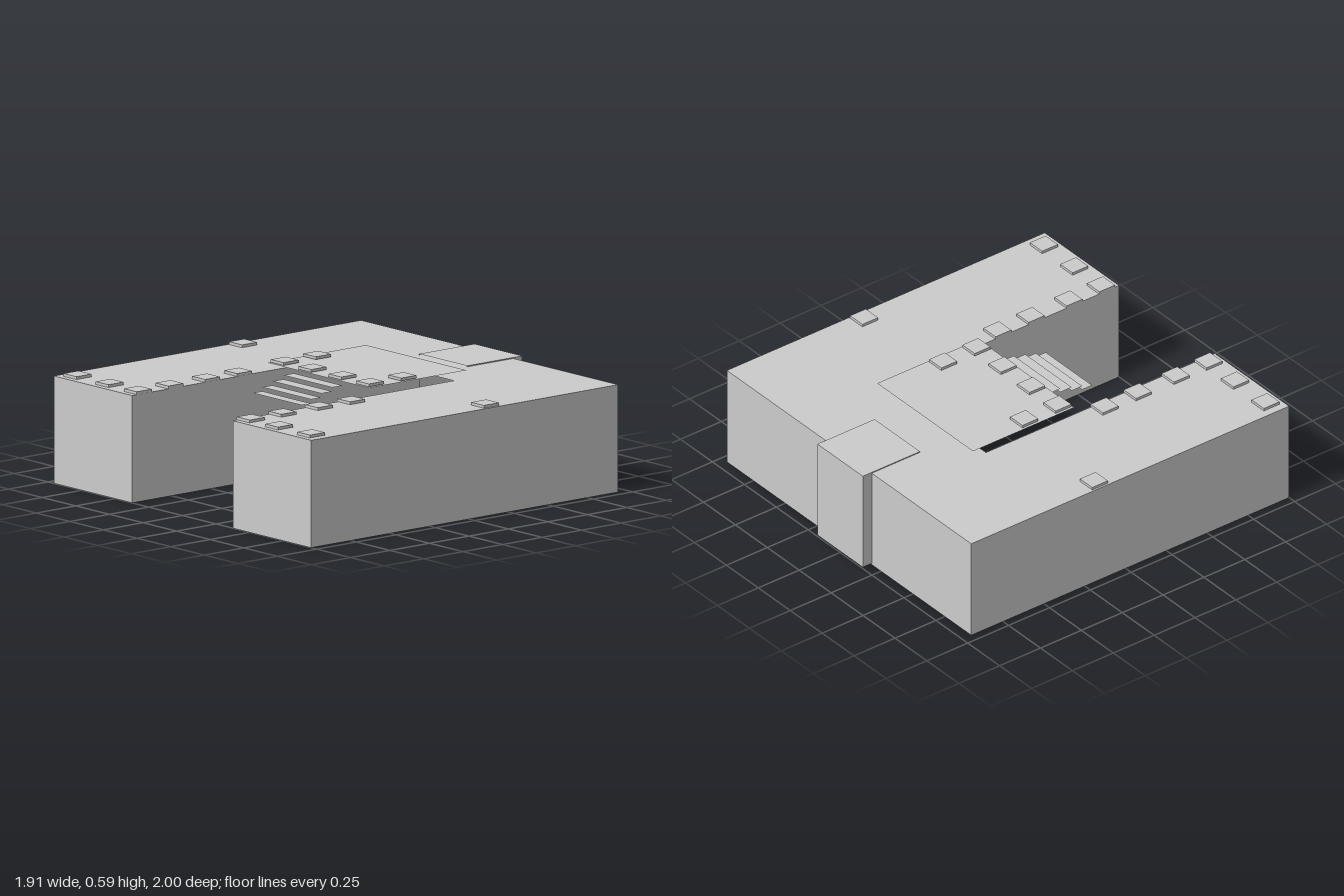
import * as THREE from 'three';

export function createModel() {
  const group = new THREE.Group();
  const mat = new THREE.MeshStandardMaterial({ color: 0xcccccc, flatShading: true, side: THREE.DoubleSide });

  const H = 0.53, X = 0.957, XI = 0.375, BACK = -0.945, FRONT = 1;

  const add = (name, geo, x, y, z) => {
    const mesh = new THREE.Mesh(geo, mat);
    mesh.name = name;
    mesh.position.set(x, y, z);
    group.add(mesh);
  };
  // Thin sheets: facing z, facing x, and lying flat
  const wallZ = (name, x0, x1, y0, y1, z) =>
    add(name, new THREE.PlaneGeometry(x1 - x0, y1 - y0), (x0 + x1) / 2, (y0 + y1) / 2, z);
  const wallX = (name, x, y0, y1, z0, z1) =>
    add(name, new THREE.PlaneGeometry(z1 - z0, y1 - y0).rotateY(Math.sign(x) * Math.PI / 2), x, (y0 + y1) / 2, (z0 + z1) / 2);
  const sheet = (name, x0, x1, y, z0, z1) =>
    add(name, new THREE.PlaneGeometry(x1 - x0, z1 - z0).rotateX(-Math.PI / 2), (x0 + x1) / 2, y, (z0 + z1) / 2);

  // U-shaped main roof, open courtyard towards the front
  const roof = new THREE.Shape([
    [-X, -FRONT], [-XI, -FRONT], [-XI, 0.4], [XI, 0.4],
    [XI, -FRONT], [X, -FRONT], [X, -BACK], [-X, -BACK],
  ].map(([x, y]) => new THREE.Vector2(x, y)));
  add('roof', new THREE.ShapeGeometry(roof).rotateX(-Math.PI / 2), 0, H, 0);

  // Outer shell, open underneath
  const back = new THREE.PlaneGeometry(2 * X, H).rotateY(Math.PI);
  add('backWall', back, 0, H / 2, BACK);
  for (const s of [-1, 1]) {
    wallX('outerWall', s * X, 0, H, BACK, FRONT);
    add('courtyardWall', new THREE.PlaneGeometry(FRONT - BACK, H).rotateY(-s * Math.PI / 2),
      s * XI, H / 2, (FRONT + BACK) / 2);
    wallZ('wingEnd', Math.min(s * XI, s * X), Math.max(s * XI, s * X), 0, H, FRONT);
  }

  // Projecting bay at the back, open inwards and underneath
  const BX = 0.178, BT = 0.535, B0 = 0.008;
  add('bayBack', new THREE.PlaneGeometry(2 * BX, BT - B0).rotateY(Math.PI), 0, (BT + B0) / 2, -1);
  for (const s of [-1, 1]) wallX('baySide', s * BX, B0, BT, -1, -0.65);
  sheet('bayRoof', -BX, BX, BT, -1, -0.65);

  // Raised courtyard deck and its open steps
  sheet('deck', -XI, XI, 0.57, -0.48, 0.14);
  [0.14, 0.205, 0.275, 0.34].forEach((z, i, a) =>
    sheet('step', -0.182, 0.182, 0.55 - i * 0.02, z, a[i + 1] ?? 0.4));

  // Small square slabs on the roof and the deck, mirrored left and right
  const slab = new THREE.BoxGeometry(0.096, 0.014, 0.096);
  const roofSlabs = [[0.42, 0.29], [0.42, 0.493], [0.42, 0.725], [0.42, 0.925], [0.63, 0.925], [0.868, 0.925], [0.9, -0.15]];
  const deckSlabs = [[0.317, -0.122], [0.317, 0.082], [0.112, 0.082]];
  for (const s of [-1, 1]) {
    for (const [x, z] of roofSlabs) add('roofSlab', slab, s * x, H + 0.008, z);
    for (const [x, z] of deckSlabs) add('deckSlab', slab, s * x, 0.58, z);
  }
  return group;
}
